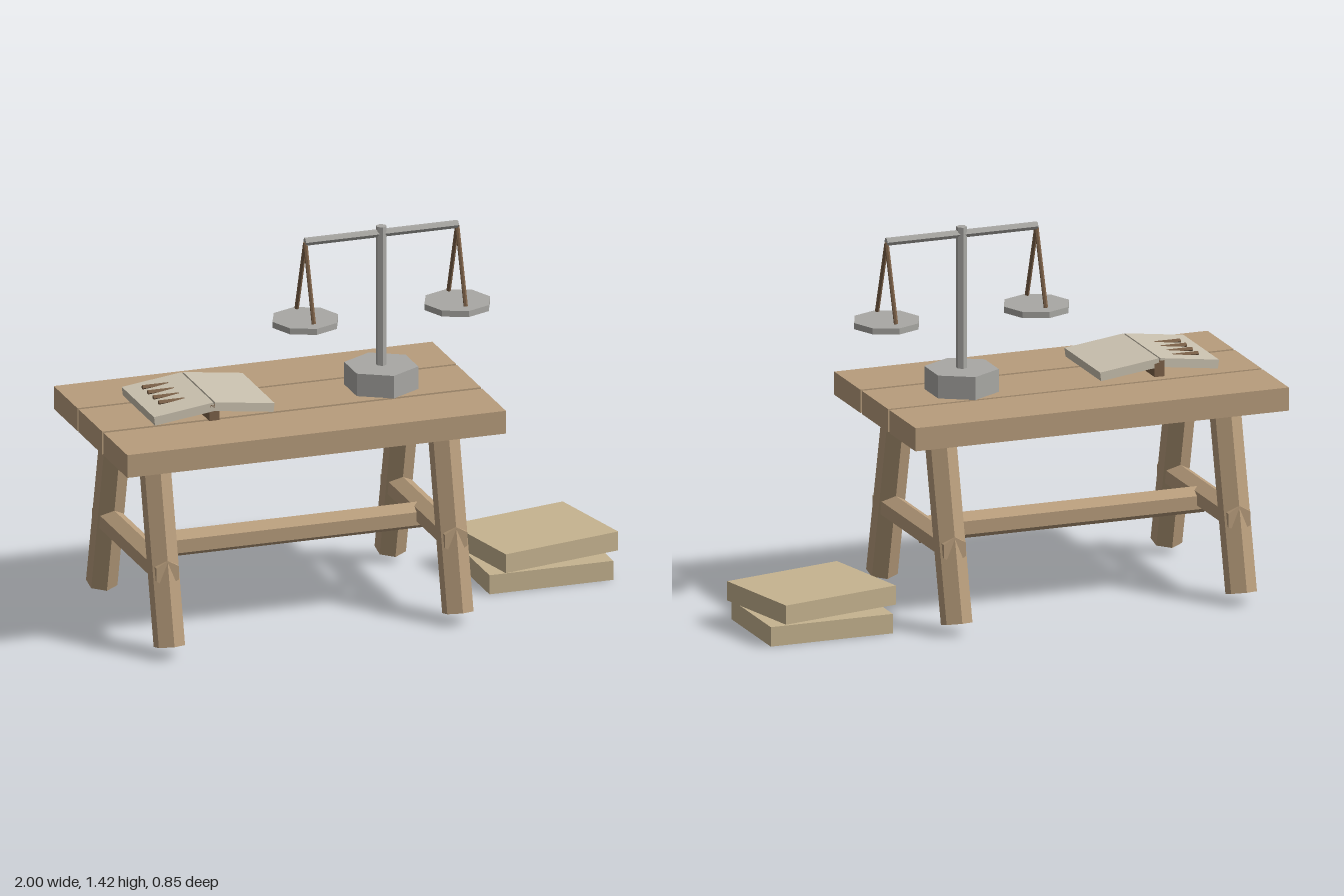
import * as THREE from 'three';

const mat = (color) => new THREE.MeshStandardMaterial({ color, flatShading: true });

export function createModel() {
  const model = new THREE.Group();
  const wood = mat(0xb89d7c);
  const metal = mat(0xa9a8a4);
  const cord = mat(0x7d6249);
  const paper = mat(0xcbc2b0);
  const cover = mat(0xc6b490);

  const group = (name) => {
    const g = new THREE.Group();
    g.name = name;
    model.add(g);
    return g;
  };

  const box = (parent, name, size, pos, material) => {
    const m = new THREE.Mesh(new THREE.BoxGeometry(...size), material);
    m.name = name;
    m.position.set(...pos);
    parent.add(m);
    return m;
  };

  // Faceted rod between two points
  const rod = (parent, name, a, b, radius, material, sides = 6) => {
    const from = new THREE.Vector3(...a);
    const dir = new THREE.Vector3(...b).sub(from);
    const m = new THREE.Mesh(new THREE.CylinderGeometry(radius, radius, dir.length(), sides), material);
    m.name = name;
    m.position.copy(from).addScaledVector(dir, 0.5);
    m.quaternion.setFromUnitVectors(new THREE.Vector3(0, 1, 0), dir.normalize());
    parent.add(m);
    return m;
  };

  // Table top: three planks with narrow gaps
  const table = group('table');
  [[-0.272, 0.256], [-0.002, 0.256], [0.27, 0.256]].forEach(([z, depth]) =>
    box(table, 'plank', [1.45, 0.087, depth], [-0.275, 0.7575, z], wood));

  // Splayed legs, with a cross stretcher at each end
  for (const x of [-0.828, 0.277]) {
    for (const s of [1, -1]) {
      rod(table, 'leg', [x, 0.04, s * 0.367], [x, 0.705, s * 0.204], 0.058, wood);
    }
    const cross = new THREE.Mesh(new THREE.CylinderGeometry(0.05, 0.05, 0.7, 6), wood);
    cross.name = 'crossStretcher';
    cross.rotation.x = Math.PI / 2;
    cross.position.set(x, 0.31, 0);
    table.add(cross);
  }

  // Long stretcher, turned so that an edge points down
  const long = new THREE.Mesh(new THREE.CylinderGeometry(0.05, 0.05, 1.105, 6).rotateY(Math.PI / 2), wood);
  long.name = 'longStretcher';
  long.rotation.z = Math.PI / 2;
  long.position.set(-0.2755, 0.295, 0);
  table.add(long);

  // Balance scale
  const scale = group('balanceScale');
  const cx = 0.113;
  rod(scale, 'base', [cx, 0.8, 0], [cx, 0.887, 0], 0.136, metal);
  rod(scale, 'post', [cx, 0.88, 0], [cx, 1.417, 0], 0.02, metal);
  rod(scale, 'beam', [cx - 0.293, 1.39, 0], [cx + 0.293, 1.39, 0], 0.015, metal);
  for (const s of [-1, 1]) {
    const x = cx + s * 0.291;
    rod(scale, 'pan', [x, 1.075, 0], [x, 1.098, 0], 0.126, metal, 8);
    for (const t of [-1, 1]) {
      rod(scale, 'hanger', [x, 1.385, 0], [x, 1.105, t * 0.093], 0.008, cord);
    }
  }

  // Open book: two tilted page blocks, a spine and four strokes on one page
  const book = group('openBook');
  const bx = -0.595;
  for (const s of [-1, 1]) {
    const page = box(book, 'pages', [0.23, 0.033, 0.35], [bx + s * 0.115, 0.857, 0.02], paper);
    page.rotation.z = -s * 0.13;
  }
  box(book, 'spine', [0.038, 0.06, 0.35], [bx, 0.849, 0.02], cord);
  for (let i = 0; i < 4; i++) {
    const z = -0.09 + i * 0.0585;
    rod(book, 'stroke', [-0.77, 0.871, z], [-0.65, 0.871, z], 0.009, cord);
  }

  // Two closed books stacked on the floor
  const stack = group('bookStack');
  box(stack, 'lowerBook', [0.474, 0.073, 0.386], [0.724, 0.0365, -0.078], cover);
  const upper = box(stack, 'upperBook', [0.476, 0.072, 0.384], [0.727, 0.126, -0.079], cover);
  upper.rotation.y = 0.21;

  return model;
}
